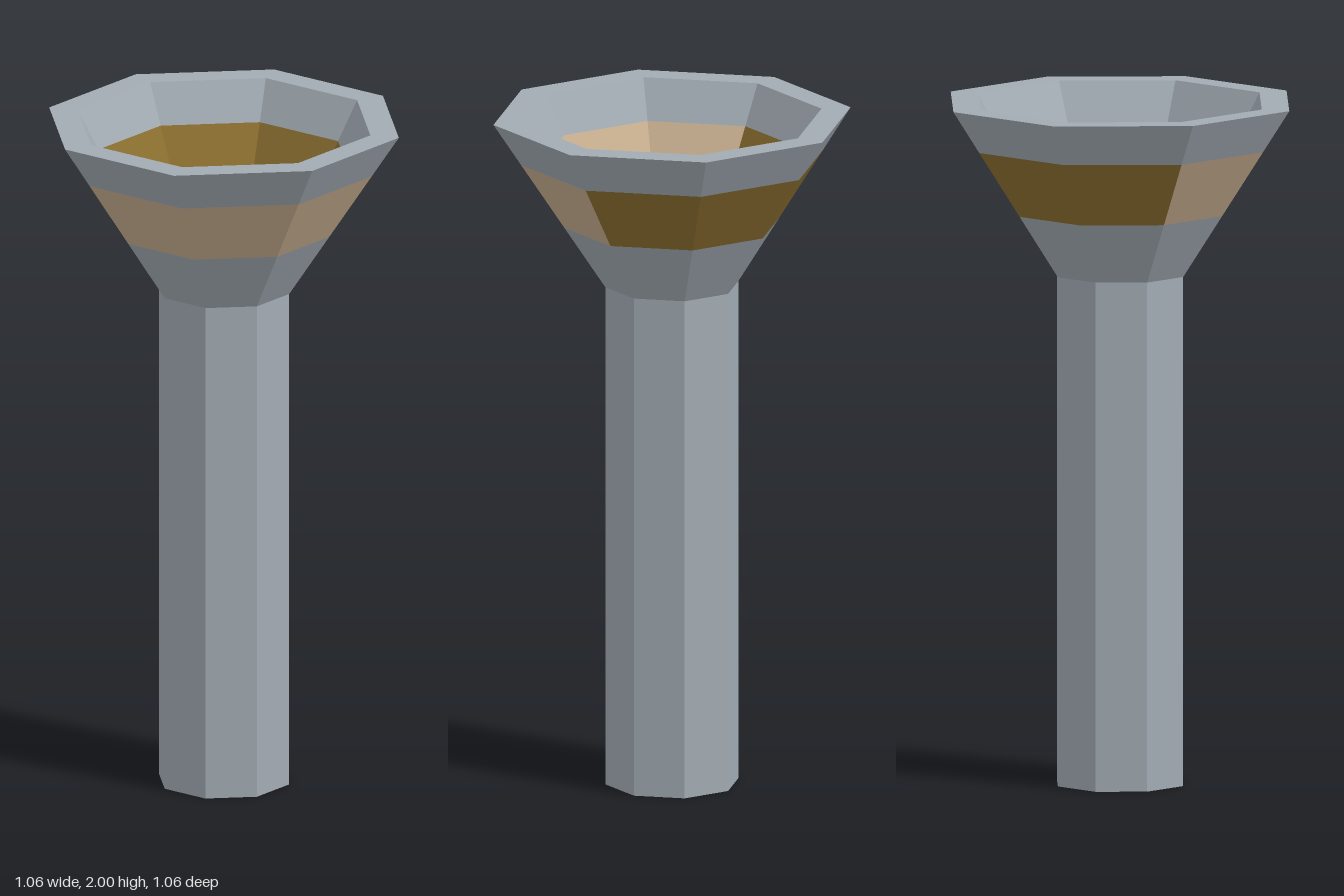
import * as THREE from 'three';

const mat = (name, color) => {
  const m = new THREE.MeshStandardMaterial({ color, flatShading: true });
  m.name = name;
  return m;
};

export function createModel() {
  const group = new THREE.Group();
  group.name = 'funnelPipe';
  const steel = mat('steel', 0xa2abb3);
  const tan = mat('tan', 0xc9b090);
  const brown = mat('brown', 0x8c6f30);

  // Eight-sided wall; an upward profile faces outward, a downward one inward
  const wall = (name, profile, material, start = 0, sides = 8) => {
    const points = profile.map(([r, y]) => new THREE.Vector2(r, y));
    const geometry = new THREE.LatheGeometry(points, sides, start, sides * Math.PI / 4);
    const mesh = new THREE.Mesh(geometry, material);
    mesh.name = name;
    group.add(mesh);
  };

  const neckY = 1.495, topY = 2;
  const flare = (neckR, topR, y) => [neckR + (topR - neckR) * (y - neckY) / (topY - neckY), y];
  const outer = y => flare(0.197, 0.528, y);
  const inner = y => flare(0.165, 0.442, y);

  const outLow = outer(1.68), outHigh = outer(1.875);
  const inLow = inner(1.69), inHigh = inner(1.885);

  // Hollow shaft with bottom rim and lower part of the flare
  wall('shaft', [inLow, inner(neckY), [0.165, 0], [0.197, 0], outer(neckY), outLow], steel);

  // Mouth of the flare with its flat top rim
  wall('mouthRim', [outHigh, outer(topY), inner(topY), inHigh], steel);

  // Coloured band, front half tan and back half brown
  for (const [side, material, start] of [['front', tan, -Math.PI / 2], ['back', brown, Math.PI / 2]]) {
    wall(side + 'OuterBand', [outLow, outHigh], material, start, 4);
    wall(side + 'InnerBand', [inHigh, inLow], material, start, 4);
  }

  return group;
}
